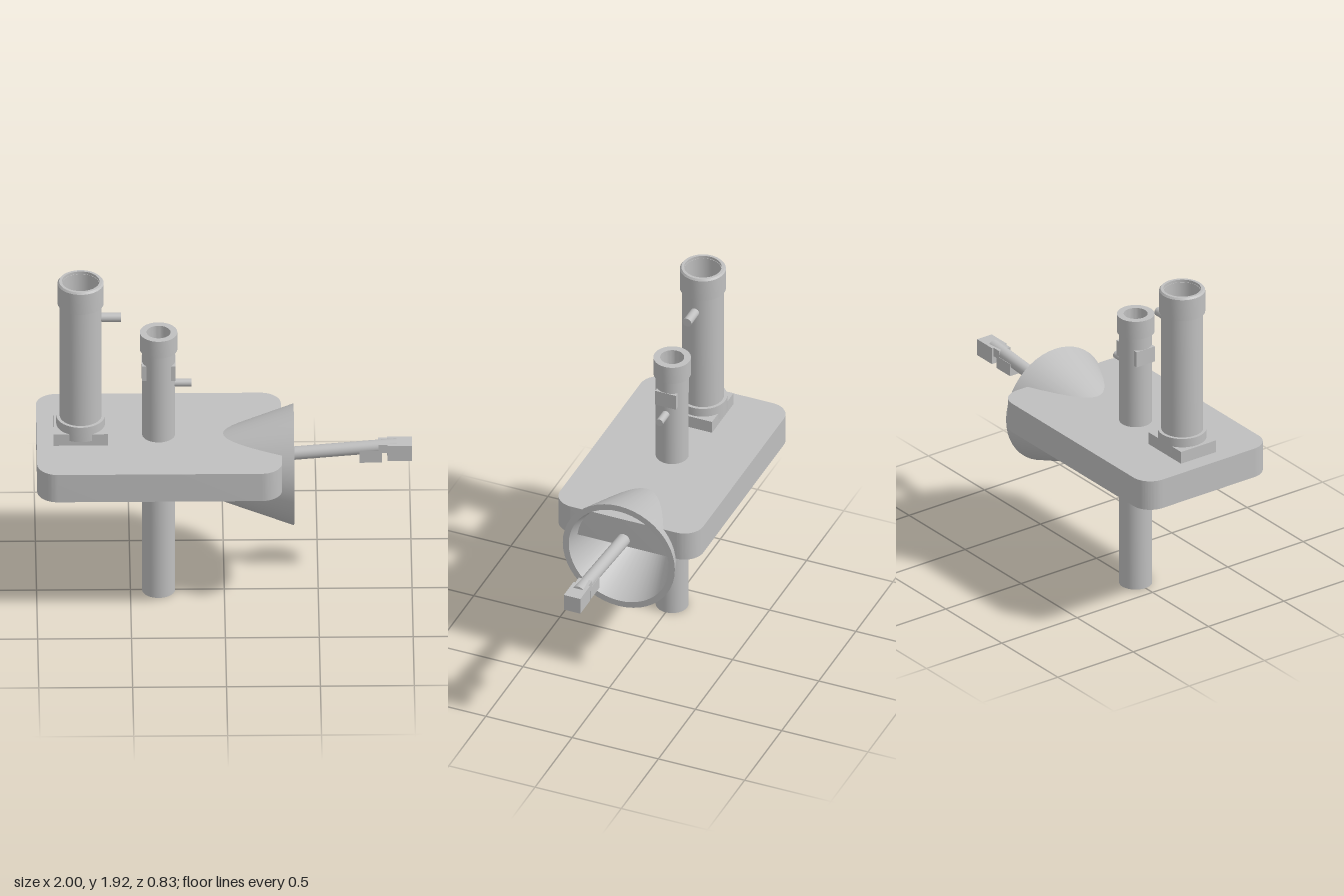
import * as THREE from 'three';
import { toCreasedNormals } from 'three/addons/utils/BufferGeometryUtils.js';

export function createModel() {
  const model = new THREE.Group();
  const grey = new THREE.MeshStandardMaterial({ color: 0xbfbfbf });
  grey.name = 'plainGrey';

  const add = (name, geometry, x = 0, y = 0, z = 0) => {
    const mesh = new THREE.Mesh(geometry, grey);
    mesh.name = name;
    mesh.position.set(x, y, z);
    model.add(mesh);
    return mesh;
  };
  // Closed [radius, height] profile, outer side listed upward, inner side downward
  const ringLathe = (points) => {
    const closed = [...points, points[0]].map(([r, y]) => new THREE.Vector2(r, y));
    return toCreasedNormals(new THREE.LatheGeometry(closed, 48), 0.5);
  };
  const tube = (outer, inner, y0, y1) => ringLathe([[outer, y0], [outer, y1], [inner, y1], [inner, y0]]);
  const rod = (radius, length) => new THREE.CylinderGeometry(radius, radius, length, 32);
  const box = (name, x0, x1, y0, y1, halfZ) =>
    add(name, new THREE.BoxGeometry(x1 - x0, y1 - y0, halfZ * 2), (x0 + x1) / 2, (y0 + y1) / 2, 0);

  // Base plate with rounded corners
  const x0 = -1, x1 = 0.305, w = 0.415, r = 0.11;
  const outline = new THREE.Shape();
  outline.absarc(x1 - r, w - r, r, 0, Math.PI / 2);
  outline.absarc(x0 + r, w - r, r, Math.PI / 2, Math.PI);
  outline.absarc(x0 + r, -w + r, r, Math.PI, Math.PI * 1.5);
  outline.absarc(x1 - r, -w + r, r, Math.PI * 1.5, Math.PI * 2);
  const plate = new THREE.ExtrudeGeometry(outline, { depth: 0.17, bevelEnabled: false, curveSegments: 12 });
  plate.rotateX(-Math.PI / 2);
  add('basePlate', toCreasedNormals(plate, 0.5), 0, 0.8, 0);

  // Round feet under the plate
  for (const x of [-0.81, 0.115]) {
    for (const z of [-0.27, 0.27]) add('foot', rod(0.058, 0.03), x, 0.793, z);
  }

  // Tall hollow column on a square mount
  const tx = -0.765;
  box('columnMount', tx - 0.145, tx + 0.145, 0.97, 1.04, 0.115);
  add('columnCollar', tube(0.13, 0.1, 1.0, 1.09), tx);
  add('columnTube', tube(0.112, 0.098, 0.98, 1.91), tx);
  add('columnCap', ringLathe([[0.123, 1.79], [0.123, 1.915], [0.115, 1.925], [0.1, 1.925], [0.1, 1.79]]), tx);
  add('columnPeg', rod(0.025, 0.13), -0.615, 1.7, 0).rotation.z = Math.PI / 2;

  // Central mast passing through the plate
  const mx = -0.35;
  add('mastTube', tube(0.088, 0.07, 0, 1.59), mx);
  add('mastCap', tube(0.1, 0.064, 1.5, 1.605), mx);
  for (const side of [-1, 1]) {
    add('mastPad', new THREE.BoxGeometry(0.026, 0.09, 0.12), mx + side * 0.077, 1.382, 0);
  }
  add('mastPeg', rod(0.021, 0.105), -0.228, 1.29, 0).rotation.z = Math.PI / 2;

  // Cross pivot through the mast
  add('pivot', rod(0.062, 0.2), mx, 0.77, 0).rotation.x = Math.PI / 2;

  // Hollow cone opening toward +x
  const cone = ringLathe([
    [0.1, -0.255], [0.155, -0.123], [0.325, 0.37], [0.29, 0.37], [0.125, -0.123], [0.076, -0.235], [0.05, -0.255],
  ]);
  cone.rotateZ(-Math.PI / 2);
  add('cone', cone, 0, 0.775, 0);

  // Slightly raised arm running out of the cone
  const start = new THREE.Vector3(-0.3, 0.786, 0);
  const end = new THREE.Vector3(0.92, 0.893, 0);
  const arm = add('arm', rod(0.036, start.distanceTo(end)));
  arm.position.copy(start).lerp(end, 0.5);
  arm.quaternion.setFromUnitVectors(new THREE.Vector3(0, 1, 0), end.clone().sub(start).normalize());

  // Blocks on the arm tip
  box('armBlock', 0.72, 0.84, 0.805, 0.877, 0.038);
  box('armLink', 0.82, 0.88, 0.865, 0.915, 0.038);
  box('tipBlock', 0.868, 1.0, 0.82, 0.915, 0.048);

  return model;
}
